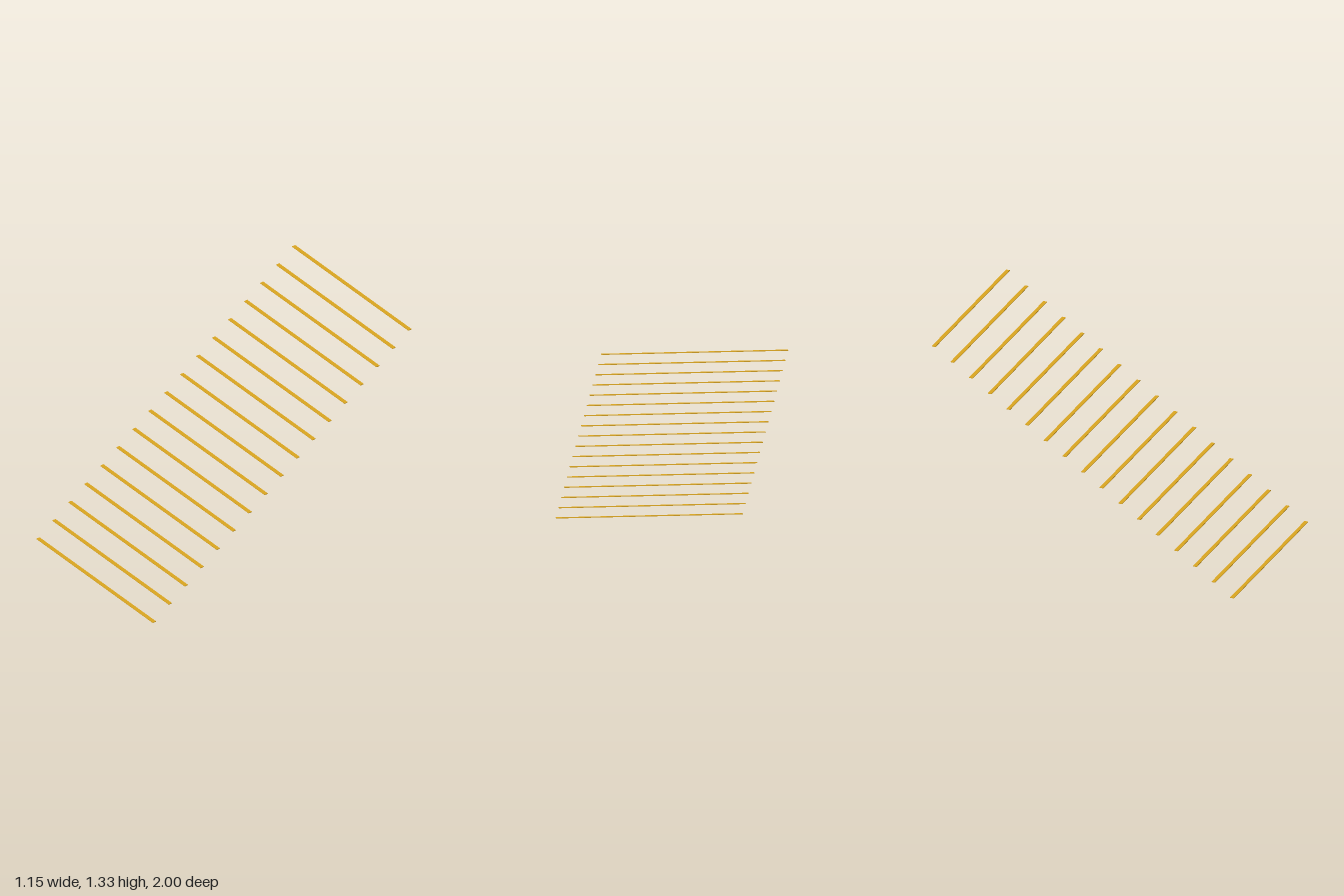
import * as THREE from 'three';

const COUNT = 17;
const WIDTH = 1.15, THICKNESS = 0.004, DEPTH = 0.024;
const RISE = 0.0827, RUN = 0.1235;

// A straight flight of thin stair-nosing strips, climbing from front to back
export function createModel() {
  const group = new THREE.Group();
  group.name = 'stairNosings';
  const material = new THREE.MeshStandardMaterial({ color: 0xdaa520 });
  const geometry = new THREE.BoxGeometry(WIDTH, THICKNESS, DEPTH);

  for (let i = 0; i < COUNT; i++) {
    const strip = new THREE.Mesh(geometry, material);
    strip.name = `nosingStrip${i + 1}`;
    strip.position.set(0, THICKNESS / 2 + i * RISE, ((COUNT - 1) / 2 - i) * RUN);
    group.add(strip);
  }
  return group;
}
